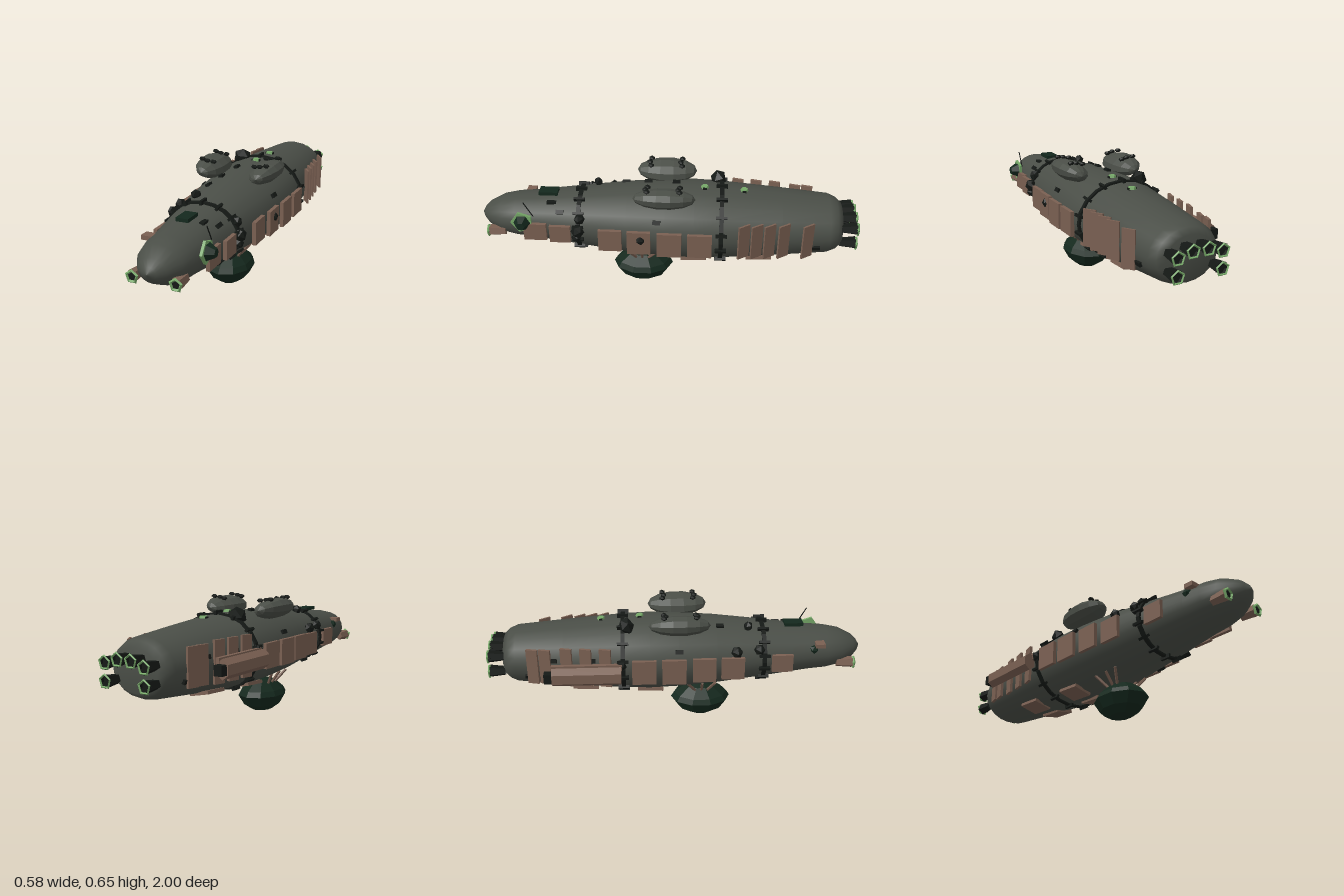
import * as THREE from 'three';

const mat = (color, flatShading = true) =>
  new THREE.MeshStandardMaterial({ color, flatShading, roughness: 0.9, side: THREE.DoubleSide });
const M = {
  hull: mat(0x4a4e47, false), pod: mat(0x4a4e47), brown: mat(0x7a6052),
  green: mat(0x76a868), dark: mat(0x14281d), black: mat(0x151916),
};
const CX = 0.013, CY = 0.385, WIDE = 1.23;

// hull profile: [z, half height]
const PROFILE = [[-0.92, 0], [-0.918, 0.105], [-0.89, 0.13], [-0.85, 0.146], [-0.6, 0.168], [-0.3, 0.191], [-0.15, 0.197],
  [0, 0.192], [0.2, 0.178], [0.45, 0.15], [0.7, 0.12], [0.8, 0.112], [0.88, 0.096], [0.95, 0.06], [0.98, 0.03], [0.997, 0]];

function hullHalf(z) {
  for (let i = 1; i < PROFILE.length; i++) {
    const [z0, r0] = PROFILE[i - 1], [z1, r1] = PROFILE[i];
    if (z <= z1) return r0 + (r1 - r0) * (z - z0) / (z1 - z0);
  }
  return 0;
}
// point on the hull; angle 0 = left side, PI/2 = top
const onHull = (z, a, lift = 0) => {
  const r = hullHalf(z) + lift;
  return [CX + Math.cos(a) * r * WIDE, CY + Math.sin(a) * r, z];
};

function lathe(points, sides) {
  const g = new THREE.LatheGeometry(points.map(([z, r]) => new THREE.Vector2(r, z)), sides);
  return g.rotateX(Math.PI / 2);
}

export function createModel() {
  const root = new THREE.Group();
  root.name = 'airship';
  const add = (name, geo, material, pos = [0, 0, 0], rot = [0, 0, 0], parent = root) => {
    const m = new THREE.Mesh(geo, material);
    m.name = name;
    m.position.set(...pos);
    m.rotation.set(...rot);
    parent.add(m);
    return m;
  };
  const box = (name, size, material, pos, rot, parent) =>
    add(name, new THREE.BoxGeometry(...size), material, pos, rot, parent);
  const lump = (name, size, material, pos, rot) => {
    const m = add(name, new THREE.IcosahedronGeometry(1, 0), material, pos, rot);
    m.scale.set(...size);
    return m;
  };
  const rod = (name, a, b, r, material) => {
    const A = new THREE.Vector3(...a), B = new THREE.Vector3(...b), d = B.clone().sub(A);
    const m = add(name, new THREE.CylinderGeometry(r, r, d.length(), 5), material, A.clone().add(B).multiplyScalar(0.5).toArray());
    m.quaternion.setFromUnitVectors(new THREE.Vector3(0, 1, 0), d.normalize());
  };

  // hull
  add('hull', lathe(PROFILE, 20), M.hull, [CX, CY, 0]).scale.x = WIDE;

  // bands with clips
  for (const z of [0.45, -0.29]) {
    const r = hullHalf(z);
    const ring = [[-0.011, r - 0.01], [-0.011, r + 0.009], [0.011, r + 0.009], [0.011, r - 0.01]];
    add('band', lathe(ring, 20), M.black, [CX, CY, z]).scale.x = WIDE;
    for (let i = 0; i < 14; i++) {
      const a = (i + 0.5) / 14 * Math.PI * 2;
      box('bandClip', [0.022, 0.013, 0.058], M.black, onHull(z, a, 0.008), [0, 0, a]);
    }
  }

  // upper pods with fittings
  for (const s of [-1, 1]) {
    const g = new THREE.SphereGeometry(1, 10, 7);
    g.rotateX(Math.PI / 2).scale(0.08, 0.053, 0.16);
    add('upperPod', g, M.pod, [CX + s * 0.153, 0.588, 0.005], [0, 0, s * 0.3]);
    for (const z of [-0.075, 0.09])
      for (let i = -1; i <= 1; i++)
        lump('podFitting', [0.018, 0.012, 0.017], M.black, [CX + s * 0.148 + i * 0.032, 0.638 + s * i * 0.005, z + (i ? 0 : 0.008)]);
  }

  // gondola and struts
  const bag = [[0, 0.0], [0.07, 0.002], [0.125, 0.035], [0.163, 0.09], [0.145, 0.118], [0.08, 0.165], [0, 0.186]];
  const bagGeo = new THREE.LatheGeometry(bag.map(p => new THREE.Vector2(...p)), 10);
  add('gondola', bagGeo, M.dark, [0.013, 0, 0.128]).scale.x = 0.76;
  for (const s of [-1, 1])
    for (const [z0, z1] of [[0.2, 0.16], [0.13, 0.13], [0.05, 0.1]])
      rod('strut', [CX + s * 0.11, 0.225, z0], [CX + s * 0.055, 0.15, z1], 0.008, M.brown);

  // side panels: [z, length, y, height]
  const panels = [[0.68, 0.12, 0.372, 0.095], [0.545, 0.11, 0.375, 0.095], [0.28, 0.12, 0.37, 0.12],
    [0.13, 0.12, 0.372, 0.13], [-0.027, 0.125, 0.372, 0.135], [-0.182, 0.125, 0.375, 0.13]];
  for (const s of [-1, 1])
    for (const [z, len, y, h] of panels) {
      if (s < 0 && z > 0.6) continue;
      const x = CX + s * (hullHalf(z) * WIDE + 0.013);
      box('sidePanel', [0.02, h, len], M.brown, [x, y, z]);
    }

  // slanted louvres near the stern
  for (const z of [-0.405, -0.47, -0.535, -0.607, -0.73]) {
    const x = CX + hullHalf(z) * WIDE + 0.012;
    box('louvre', [0.01, 0.19, 0.068], M.brown, [x, z < -0.7 ? 0.395 : 0.4, z], [0, 0.6, 0]);
  }
  for (const z of [-0.38, -0.48, -0.58, -0.69, -0.755]) {
    const x = CX - hullHalf(z) * WIDE - 0.005;
    box('louvre', [0.015, z < -0.65 ? 0.19 : 0.21, 0.06], M.brown, [x, 0.395, z], [0, -0.25, 0]);
  }

  // long side box on the right
  add('sideTank', new THREE.CylinderGeometry(0.05, 0.05, 0.35, 6).rotateX(Math.PI / 2), M.brown, [-0.27, 0.375, -0.475]).scale.x = 0.75;
  box('tankRail', [0.02, 0.035, 0.36], M.brown, [-0.245, 0.41, -0.475]);
  box('tankCap', [0.045, 0.05, 0.04], M.black, [-0.272, 0.375, -0.67]);

  // belly panels
  for (const s of [-1, 1])
    for (const z of [-0.15, -0.495]) {
      const y = z > -0.3 ? 0.2 : 0.22;
      box('bellyPanel', [0.11, 0.018, 0.135], M.brown, [CX + s * 0.08, y, z], [0.05, 0, s * 0.2]);
    }

  // nose lamps
  for (const s of [-1, 1]) {
    const lamp = new THREE.Group();
    lamp.name = 'noseLamp';
    lamp.position.set(CX + s * 0.109, 0.335, 0.94);
    root.add(lamp);
    const body = new THREE.CylinderGeometry(0.032, 0.024, 0.085, 5).rotateX(Math.PI / 2);
    add('lampBody', body, M.brown, [0, 0, -0.045], [0, 0, 0], lamp);
    add('lampRim', new THREE.TorusGeometry(0.028, 0.008, 4, 5), M.green, [0, 0, 0.002], [0, 0, Math.PI / 2], lamp);
    add('lampGlass', new THREE.CircleGeometry(0.026, 5), M.black, [0, 0, 0.002], [0, 0, Math.PI / 2], lamp);
  }

  // left bow turret with aerial
  add('turretRim', new THREE.CylinderGeometry(0.06, 0.06, 0.014, 5).rotateZ(Math.PI / 2), M.green, [0.174, 0.425, 0.745]);
  add('turretDome', new THREE.CylinderGeometry(0.022, 0.046, 0.045, 6).rotateZ(-Math.PI / 2), M.dark, [0.2, 0.425, 0.745]);
  rod('aerial', [0.17, 0.46, 0.685], [0.17, 0.54, 0.73], 0.003, M.black);

  // right bow fittings
  box('bowPlate', [0.06, 0.022, 0.05], M.brown, [-0.113, 0.452, 0.75]);
  lump('bowPort', [0.022, 0.025, 0.025], M.dark, [-0.118, 0.425, 0.72]);

  // deck hatch and vents
  box('deckHatch', [0.065, 0.018, 0.1], M.dark, [0.015, 0.524, 0.625]);
  box('deckVent', [0.025, 0.012, 0.05], M.black, [0.09, 0.5, 0.6]);
  for (const z of [-0.2, -0.405]) {
    add('deckLight', new THREE.CylinderGeometry(0.018, 0.022, 0.012, 6), M.green, [0.02, CY + hullHalf(z) + 0.004, z]);
    box('deckLightBase', [0.045, 0.01, 0.02], M.black, [0.02, CY + hullHalf(z) + 0.001, z]);
  }

  // lumps on the hull: [z, angle, radius]
  for (const [z, a, r] of [[0.45, 0.1, 0.036], [0.44, 0.5, 0.03], [0.46, -0.15, 0.026], [0.12, 0.03, 0.027],
    [0.3, 2.75, 0.032], [0.37, 1.95, 0.028], [-0.27, 2.0, 0.05], [-0.3, 3.0, 0.03], [0.42, 2.7, 0.03]])
    lump('fitting', [r * 0.8, r, r], M.black, onHull(z, a, 0.012), [z, a, 0]);

  // small hull ports: [z, angle]
  for (const [z, a] of [[0.04, 0.5], [-0.78, -0.3], [-0.78, 3.5], [0.55, 0.7], [0.22, 1.95], [-0.05, 1.75],
    [0.1, 1.85], [0.3, -0.9], [-0.65, 2.9], [-0.45, 2.9], [0, 2.7]])
    box('port', [0.016, 0.022, 0.04], M.black, onHull(z, a, 0.002), [0, 0, a]);

  // tail nozzles
  for (const [x, y] of [[-0.105, 0.42], [-0.03, 0.44], [0.05, 0.44], [0.125, 0.42], [-0.105, 0.335], [0.125, 0.335]]) {
    const tube = new THREE.CylinderGeometry(0.024, 0.034, 0.08, 5, 1, true).rotateX(Math.PI / 2);
    add('nozzle', tube, M.black, [x, y, -0.95]);
    add('nozzleRim', new THREE.TorusGeometry(0.032, 0.006, 4, 5), M.green, [x, y, -0.993], [0, 0, 0.3]);
    add('nozzleCore', new THREE.CircleGeometry(0.03, 5), M.black, [x, y, -0.975], [0, Math.PI, 0]);
  }
  return root;
}
